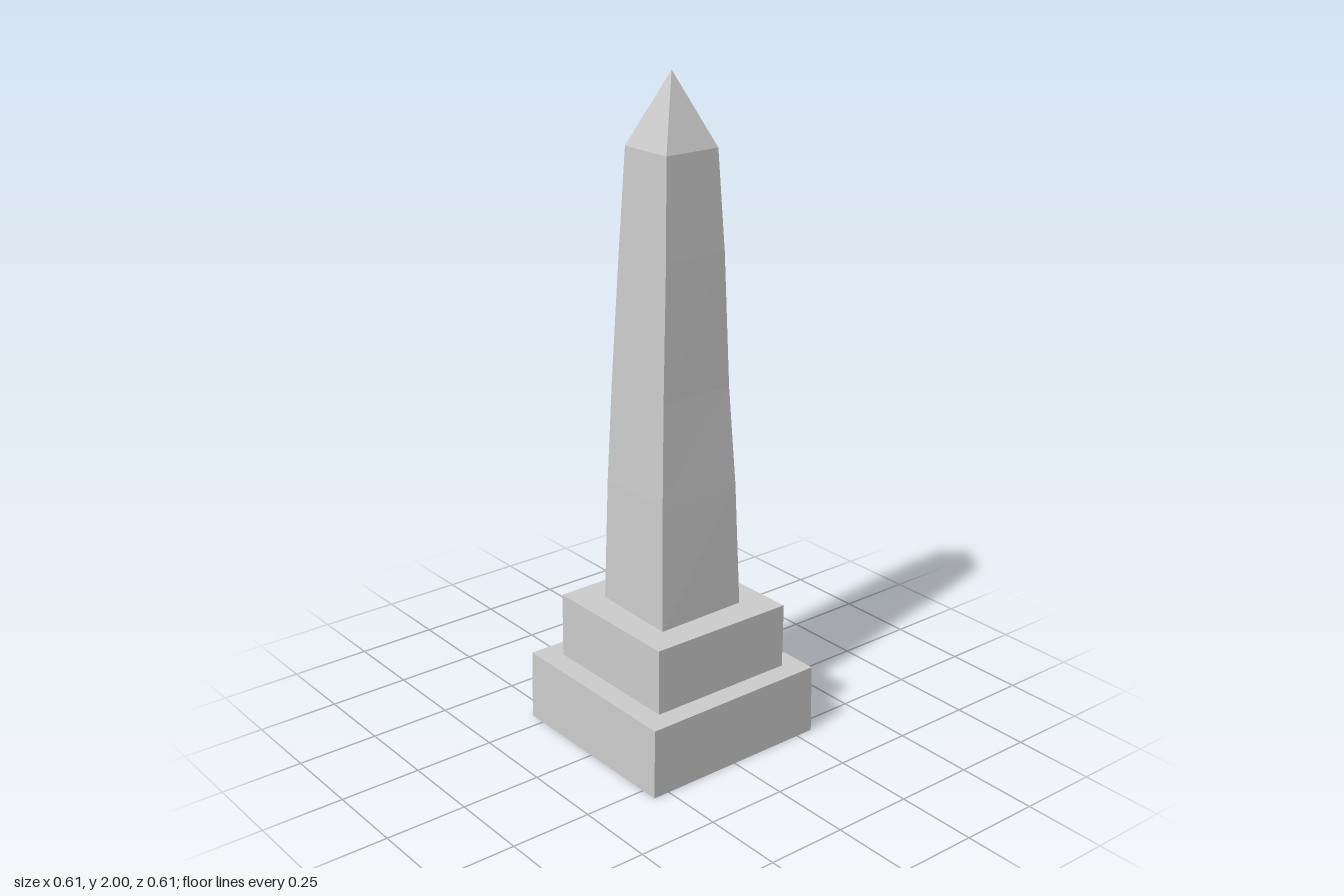
import * as THREE from 'three';

// A ring is a height and four corners [x, z]: back left, front left, front right, back right (as seen from above).
function loft(rings) {
  const pts = rings.map(([y, ...corners]) => corners.map(([x, z]) => [x, y, z]));
  const pos = [];
  const quad = (a, b, c, d) => pos.push(...a, ...b, ...c, ...a, ...c, ...d);
  for (let r = 0; r < pts.length - 1; r++) {
    for (let i = 0; i < 4; i++) {
      const j = (i + 1) % 4;
      quad(pts[r][i], pts[r][j], pts[r + 1][j], pts[r + 1][i]);
    }
  }
  const [b0, b1, b2, b3] = pts[0];
  quad(b3, b2, b1, b0);
  quad(...pts[pts.length - 1]);
  const geometry = new THREE.BufferGeometry();
  geometry.setAttribute('position', new THREE.Float32BufferAttribute(pos, 3));
  geometry.computeVertexNormals();
  return geometry;
}

export function createModel() {
  const group = new THREE.Group();
  const stone = new THREE.MeshStandardMaterial({ color: 0xcccccc, flatShading: true });
  stone.name = 'paleStone';

  const add = (name, rings) => {
    const mesh = new THREE.Mesh(loft(rings), stone);
    mesh.name = name;
    group.add(mesh);
  };

  // Two slightly uneven stone steps
  add('lowerPlinth', [
    [0, [-0.303, -0.307], [-0.304, 0.304], [0.303, 0.303], [0.3, -0.307]],
    [0.216, [-0.302, -0.303], [-0.304, 0.299], [0.302, 0.299], [0.3, -0.303]],
  ]);
  add('upperPlinth', [
    [0.21, [-0.238, -0.234], [-0.235, 0.232], [0.235, 0.232], [0.235, -0.241]],
    [0.418, [-0.238, -0.234], [-0.234, 0.231], [0.234, 0.231], [0.237, -0.241]],
  ]);

  // Hand-cut shaft, tapering with a slight bow
  const top = [[-0.092, -0.095], [-0.092, 0.087], [0.089, 0.086], [0.089, -0.095]];
  add('shaft', [
    [0.415, [-0.148, -0.153], [-0.141, 0.14], [0.146, 0.147], [0.14, -0.15]],
    [0.8, [-0.135, -0.141], [-0.132, 0.131], [0.128, 0.132], [0.129, -0.138]],
    [1.1, [-0.126, -0.127], [-0.124, 0.118], [0.114, 0.117], [0.113, -0.123]],
    [1.5, [-0.107, -0.11], [-0.107, 0.1], [0.104, 0.1], [0.104, -0.109]],
    [1.79, ...top],
  ]);

  // Pointed cap
  const apex = [0, -0.003];
  add('pointedCap', [[1.79, ...top], [2, apex, apex, apex, apex]]);

  return group;
}
